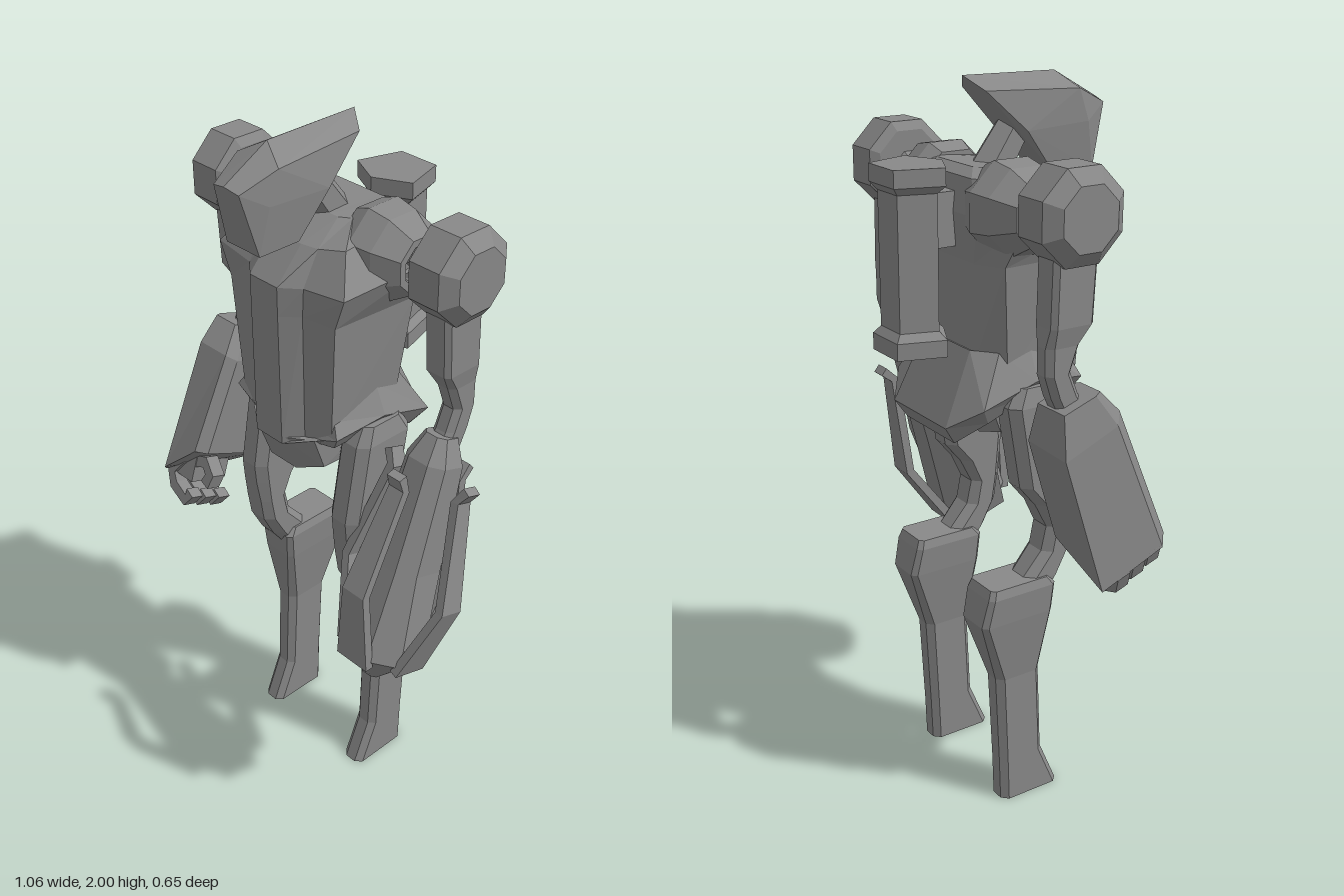
import * as THREE from 'three';
import { ConvexGeometry } from 'three/addons/geometries/ConvexGeometry.js';

const material = new THREE.MeshStandardMaterial({ color: 0x888888, flatShading: true });

function add(parent, name, geometry) {
  const mesh = new THREE.Mesh(geometry, material);
  mesh.name = name;
  parent.add(mesh);
  return mesh;
}

function group(parent, name, x = 0, y = 0, z = 0) {
  const g = new THREE.Group();
  g.name = name;
  g.position.set(x, y, z);
  parent.add(g);
  return g;
}

// Skin of flat faces through rings of [x, y, z], closed at both ends and turned outward
function loft(rings) {
  const n = rings[0].length, tris = [];
  for (let i = 0; i < rings.length - 1; i++) {
    for (let j = 0; j < n; j++) {
      const k = (j + 1) % n;
      const a = rings[i][j], b = rings[i][k], c = rings[i + 1][k], d = rings[i + 1][j];
      tris.push([a, b, c], [a, c, d]);
    }
  }
  const end = rings[rings.length - 1];
  for (let j = 1; j < n - 1; j++) {
    tris.push([rings[0][0], rings[0][j + 1], rings[0][j]], [end[0], end[j], end[j + 1]]);
  }
  let volume = 0;
  for (const [a, b, c] of tris) {
    volume += new THREE.Vector3(...a).dot(new THREE.Vector3(...b).cross(new THREE.Vector3(...c)));
  }
  if (volume < 0) tris.forEach((t) => t.reverse());
  const g = new THREE.BufferGeometry();
  g.setAttribute('position', new THREE.Float32BufferAttribute(tris.flat(2), 3));
  g.computeVertexNormals();
  return g;
}

// Rectangle with cut corners lying across the limb
function section([y, hx, z0, z1, cut = 0.25]) {
  const c = cut * Math.min(2 * hx, z1 - z0);
  return [[hx, z0 + c], [hx, z1 - c], [hx - c, z1], [-hx + c, z1],
    [-hx, z1 - c], [-hx, z0 + c], [-hx + c, z0], [hx - c, z0]].map(([x, z]) => [x, y, z]);
}
const limb = (rows) => loft(rows.map(section));

// Ring from its half on +x, listed front to back
const mirrorRing = (half) => [...half, ...half.map(([x, y, z]) => [-x, y, z]).reverse()];

// Convex solid from its half on +x
const mirrorHull = (half) =>
  new ConvexGeometry(mirrorRing(half).map((p) => new THREE.Vector3(...p)));

// Bar following a path of [x, y, depth], centred on z
function bar(path, thick) {
  return loft(path.map(([x, y, depth], i) => {
    const p = path[Math.max(i - 1, 0)], q = path[Math.min(i + 1, path.length - 1)];
    const l = Math.hypot(q[0] - p[0], q[1] - p[1]);
    const nx = -(q[1] - p[1]) / l * thick / 2, ny = (q[0] - p[0]) / l * thick / 2, h = depth / 2;
    return [[x + nx, y + ny, h], [x - nx, y - ny, h], [x - nx, y - ny, -h], [x + nx, y + ny, -h]];
  }));
}

function buildTrunk(body) {
  add(body, 'head', mirrorHull([
    [0, 2, -0.09], [0.055, 1.965, -0.055], [0, 1.995, 0.19], [0.073, 1.955, 0.22], [0, 1.92, 0.325],
    [0.045, 1.91, 0.318], [0.073, 1.87, 0.25], [0.06, 1.745, 0.275], [0.06, 1.745, 0.15],
    [0.073, 1.86, 0.06]]));
  const neck = add(body, 'neck', new THREE.CylinderGeometry(0.045, 0.06, 0.24, 6));
  neck.position.set(0, 1.8, 0.02);
  neck.rotation.x = 0.6;

  // Torso rings with a raised centre strip in front, bottom to top
  add(body, 'torso', loft([
    [[0.05, 1.18, 0.215], [0.09, 1.2, 0.17], [0.17, 1.22, 0.15], [0.18, 1.26, -0.07], [0.11, 1.28, -0.13]],
    [[0.05, 1.56, 0.217], [0.095, 1.56, 0.175], [0.195, 1.56, 0.16], [0.21, 1.56, -0.1], [0.13, 1.56, -0.14]],
    [[0.05, 1.64, 0.217], [0.1, 1.64, 0.175], [0.23, 1.65, 0.163], [0.28, 1.69, -0.08], [0.15, 1.68, -0.15]],
    [[0.05, 1.73, 0.135], [0.1, 1.73, 0.125], [0.17, 1.74, 0.1], [0.18, 1.77, -0.1], [0.12, 1.77, -0.14]],
    [[0.05, 1.78, 0.04], [0.08, 1.78, 0.04], [0.11, 1.78, 0.02], [0.11, 1.79, -0.08], [0.08, 1.79, -0.11]],
  ].map(mirrorRing)));

  // Flared skirt, lower at the back
  add(body, 'skirt', loft([
    [[0.1, 1.23, 0.15], [0.17, 1.27, 0.14], [0.18, 1.33, 0], [0.17, 1.33, -0.09], [0.11, 1.33, -0.14]],
    [[0.11, 1.2, 0.165], [0.195, 1.23, 0.155], [0.215, 1.25, 0], [0.215, 1.2, -0.165], [0.13, 1.14, -0.228]],
    [[0.1, 1.18, 0.15], [0.17, 1.19, 0.14], [0.18, 1.2, 0], [0.18, 1.15, -0.13], [0.12, 1.09, -0.195]],
  ].map(mirrorRing)));
  add(body, 'pelvis', mirrorHull([
    [0.05, 1.2, 0.213], [0.12, 1.2, 0.165], [0.05, 1.08, 0.168], [0.12, 1.1, 0.13], [0, 1.05, 0.13],
    [0, 1.05, -0.04], [0.12, 1.09, -0.05], [0.14, 1.22, -0.11]]));

  // Five-sided pack with a flange at each end
  const packRing = (y, s) => [[0.062, -0.325], [0.1, -0.2], [0, -0.15], [-0.1, -0.2], [-0.062, -0.325]]
    .map(([x, z]) => [x * s, y, -0.25 + (z + 0.25) * s]);
  add(body, 'backpack', loft([[1.32, 1], [1.365, 1], [1.385, 0.78], [1.735, 0.78], [1.755, 1], [1.8, 1]]
    .map(([y, s]) => packRing(y, s))));
  const mount = add(body, 'backpackMount', new THREE.BoxGeometry(0.1, 0.14, 0.12));
  mount.position.set(0, 1.66, -0.15);
}

function buildLeg(body, side) {
  const leg = group(body, side > 0 ? 'leftLeg' : 'rightLeg', side * 0.185);
  add(leg, 'thigh', limb([
    [1.24, 0.04, -0.06, 0.07], [1.19, 0.052, -0.09, 0.1], [0.96, 0.052, -0.05, 0.14],
    [0.9, 0.052, 0, 0.135], [0.83, 0.052, 0.035, 0.125], [0.76, 0.052, 0.02, 0.115],
    [0.69, 0.052, -0.04, 0.08], [0.62, 0.048, -0.09, 0.03]]));
  add(leg, 'shin', limb([
    [0.695, 0.058, -0.155, 0.03, 0.1], [0.67, 0.065, -0.165, 0.05, 0.1], [0.59, 0.06, -0.183, 0.045, 0.12],
    [0.4, 0.038, -0.12, 0.022], [0.13, 0.036, -0.105, 0.035], [0, 0.036, -0.1, 0.09]]));
}

function buildUpperArm(body, side) {
  const arm = group(body, side > 0 ? 'leftUpperArm' : 'rightUpperArm');
  // Turned parts along x, each a list of [radius, distance from the middle]
  const turned = (name, profile, y) => {
    const pts = profile.map(([r, d]) => new THREE.Vector2(r, d));
    const mesh = add(arm, name, new THREE.LatheGeometry(pts, 8, Math.PI / 8).toNonIndexed());
    mesh.position.set(0, y, -0.045);
    mesh.rotation.z = -side * Math.PI / 2;
  };
  turned('shoulderPad', [[0, 0.1], [0.11, 0.1], [0.13, 0.15], [0.118, 0.215], [0.078, 0.282],
    [0.058, 0.282], [0.05, 0.26], [0, 0.26]], 1.695);
  turned('shoulderLink', [[0, 0.24], [0.04, 0.25], [0.025, 0.29], [0.03, 0.32], [0.055, 0.345], [0, 0.345]], 1.72);
  turned('shoulder', [[0, 0.335], [0.1, 0.335], [0.126, 0.35], [0.126, 0.445], [0.085, 0.477], [0, 0.477]], 1.725);
  const upper = add(arm, 'upperArm', limb([
    [1.66, 0.042, -0.11, 0.02, 0.15], [1.46, 0.042, -0.115, 0.01, 0.15], [1.41, 0.033, -0.12, -0.02],
    [1.34, 0.033, -0.12, -0.045], [1.28, 0.033, -0.1, -0.02], [1.2, 0.033, -0.06, 0.03]]));
  upper.position.x = side * 0.392;
}

// Box forearm with a curled three-finger hand
function buildHandArm(body) {
  const arm = group(body, 'rightForearm', -0.395, 1.25, -0.03);
  arm.rotation.x = -0.326;
  add(arm, 'forearm', loft([
    [[0.05, 0.02, -0.06], [0.05, 0.02, 0.04], [0.03, 0.02, 0.06], [-0.05, 0.02, 0.06], [-0.06, 0.02, 0.04], [-0.06, 0.02, -0.06]],
    [[0.08, -0.08, -0.1], [0.08, -0.07, 0.07], [0.06, -0.06, 0.1], [-0.05, -0.06, 0.1], [-0.075, -0.08, 0.07], [-0.075, -0.09, -0.1]],
    [[0.075, -0.38, -0.11], [0.075, -0.36, 0.1], [0.05, -0.36, 0.13], [-0.06, -0.46, 0.13], [-0.085, -0.48, 0.1], [-0.085, -0.49, -0.11]],
  ]));
  const hand = group(arm, 'hand');
  const palm = add(hand, 'palm', new THREE.BoxGeometry(0.075, 0.1, 0.13));
  palm.position.set(-0.02, -0.43, 0.02);
  for (let i = 0; i < 3; i++) {
    const finger = add(hand, 'finger', bar([[-0.035, -0.44, 0.042], [-0.068, -0.49, 0.042],
      [-0.045, -0.53, 0.042], [0.015, -0.555, 0.042], [0.03, -0.525, 0.042]], 0.034));
    finger.position.set(0, i * 0.008, -0.035 + i * 0.055);
  }
  const thumb = add(hand, 'thumb', bar(
    [[0, -0.42, 0.045], [0.05, -0.4, 0.045], [0.08, -0.43, 0.045], [0.068, -0.465, 0.045]], 0.035));
  thumb.position.z = 0.06;
}

// Pointed pod forearm caged by four bent blades that widen downward
function buildPodArm(body) {
  const arm = group(body, 'leftForearm', 0.392, 1.25, -0.02);
  arm.rotation.x = -0.326;
  add(arm, 'pod', limb([
    [0.02, 0.037, -0.04, 0.04], [-0.05, 0.066, -0.068, 0.068], [-0.35, 0.082, -0.088, 0.088],
    [-0.61, 0.11, -0.11, 0.11, 0.3], [-0.695, 0.025, -0.03, 0.03]]));
  for (let i = 0; i < 4; i++) {
    const blade = add(arm, 'blade', bar([[0.137, -0.08, 0.045], [0.113, -0.12, 0.05],
      [0.172, -0.41, 0.075], [0.1, -0.63, 0.11]], 0.025));
    blade.rotation.y = i * Math.PI / 2;
  }
}

export function createModel() {
  const model = new THREE.Group();
  model.name = 'robot';
  const body = group(model, 'body', -0.05);
  buildTrunk(body);
  for (const side of [-1, 1]) {
    buildLeg(body, side);
    buildUpperArm(body, side);
  }
  buildHandArm(body);
  buildPodArm(body);
  return model;
}
